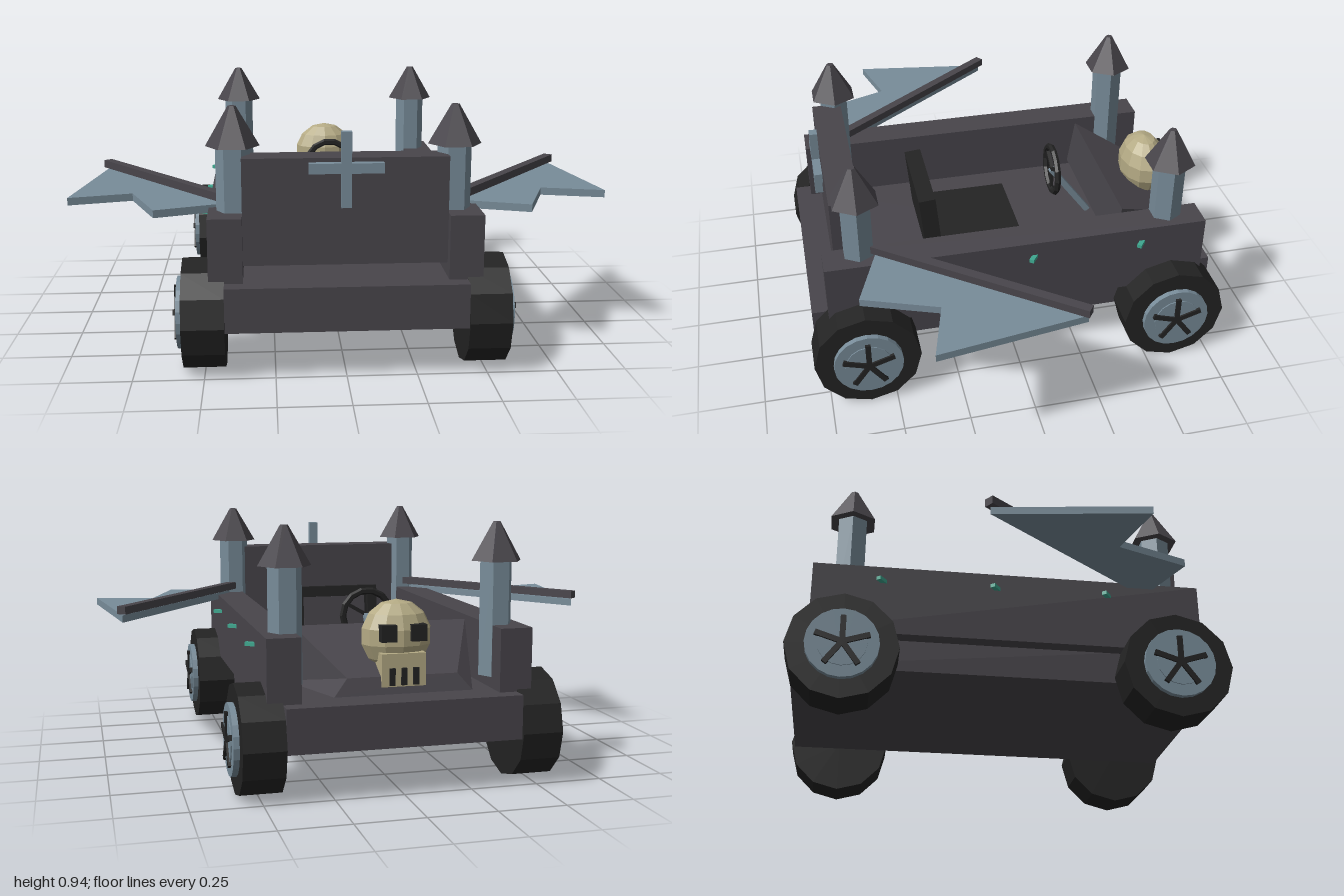
import * as THREE from 'three';

const material = (name, color) => {
  const m = new THREE.MeshStandardMaterial({ color, flatShading: true });
  m.name = name;
  return m;
};

export function createModel() {
  const model = new THREE.Group();
  model.name = 'castleKart';
  const charcoal = material('charcoal', 0x48454b);
  const black = material('black', 0x232323);
  const slate = material('slate', 0x788c99);
  const bone = material('bone', 0xb5ab85);
  const teal = material('teal', 0x3fa890);

  const add = (name, geo, mat, x = 0, y = 0, z = 0, parent = model) => {
    const mesh = new THREE.Mesh(geo, mat);
    mesh.name = name;
    mesh.position.set(x, y, z);
    parent.add(mesh);
    return mesh;
  };
  const box = (name, w, h, d, mat, x, y, z, parent) =>
    add(name, new THREE.BoxGeometry(w, h, d), mat, x, y, z, parent);

  // Chassis, end panel and cross
  box('chassis', 0.85, 0.16, 1.57, charcoal, 0, 0.26, 0);
  box('endPanel', 0.72, 0.38, 0.115, charcoal, 0, 0.58, 0.623);
  box('crossUpright', 0.036, 0.265, 0.03, slate, 0, 0.7325, 0.698);
  box('crossBar', 0.26, 0.036, 0.03, slate, 0, 0.738, 0.698);

  // Wheel with rim and five spokes, outer face towards +x
  const makeWheel = () => {
    const wheel = new THREE.Group();
    wheel.name = 'wheel';
    const disc = (name, r, from, to, mat, sides) => {
      const geo = new THREE.CylinderGeometry(r, r, to - from, sides).rotateZ(-Math.PI / 2);
      add(name, geo, mat, (from + to) / 2, 0, 0, wheel);
    };
    disc('tyre', 0.2, -0.075, 0.075, black, 12);
    disc('rim', 0.13, 0.07, 0.096, slate, 20);
    disc('hubPlate', 0.088, 0.09, 0.1, slate, 16);
    for (let i = 0; i < 5; i++) {
      const geo = new THREE.BoxGeometry(0.014, 0.1, 0.02).translate(0, 0.05, 0);
      add('spoke', geo, black, 0.1, 0, 0, wheel).rotation.x = (i * Math.PI * 2) / 5;
    }
    return wheel;
  };

  // Bat wing outline in x and z
  const wingPoints = [[0.42, 0.53], [0.92, -0.13], [1, 0.41], [0.77, 0.35], [0.67, 0.62]];
  const makeWing = side => {
    const shape = new THREE.Shape(wingPoints.map(([x, z]) => new THREE.Vector2(side * x, z)));
    const geo = new THREE.ExtrudeGeometry(shape, { depth: 0.028, bevelEnabled: false });
    return geo.rotateX(Math.PI / 2).translate(0, 0.58, 0);
  };

  for (const side of [-1, 1]) {
    box('sideWall', 0.12, 0.27, 1.45, charcoal, side * 0.42, 0.435, 0);
    for (const z of [-0.6, 0.6]) {
      const wheel = makeWheel();
      wheel.position.set(side * 0.5, 0.2, z);
      if (side < 0) wheel.rotation.y = Math.PI;
      model.add(wheel);
      // Hexagonal corner tower with pointed roof
      const tower = new THREE.CylinderGeometry(0.061, 0.061, 0.42, 6).rotateY(Math.PI / 2);
      add('tower', tower, slate, side * 0.39, 0.59, z * 0.985);
      const roof = new THREE.CylinderGeometry(0.014, 0.095, 0.14, 6).rotateY(Math.PI / 2);
      add('towerRoof', roof, charcoal, side * 0.39, 0.87, z * 0.985);
    }
    // Wing and its arm
    add('wing', makeWing(side), slate);
    const arm = box('wingArm', 0.036, 0.03, 0.87, charcoal, side * 0.662, 0.6, 0.21);
    arm.rotation.y = side * -Math.atan2(0.5, 0.66);
    // Small bolts along the wall
    for (const z of [0.38, -0.04, -0.46]) {
      box('wallBolt', 0.05, 0.014, 0.018, teal, side * 0.487, 0.51, z - 0.01).rotation.y = -0.65;
    }
  }

  // Seat with a framed, slightly reclined back
  box('seatCushion', 0.37, 0.035, 0.38, black, 0, 0.378, 0.11);
  const back = new THREE.Group();
  back.name = 'seatBack';
  back.position.set(0, 0.37, 0.275);
  back.rotation.x = 0.09;
  model.add(back);
  box('backBoard', 0.37, 0.245, 0.04, black, 0, 0.1225, 0.015, back);
  box('backInset', 0.27, 0.15, 0.006, charcoal, 0, 0.125, -0.006, back);
  for (const s of [-1, 1]) {
    box('backFrameSide', 0.04, 0.245, 0.03, black, s * 0.165, 0.1225, -0.015, back);
    box('backFrameRail', 0.3, 0.04, 0.03, black, 0, 0.1225 + s * 0.1025, -0.015, back);
  }

  // Steering wheel and column
  add('steeringWheel', new THREE.TorusGeometry(0.095, 0.013, 6, 14), black, 0, 0.565, -0.247);
  for (let i = 0; i < 3; i++) {
    const spoke = new THREE.BoxGeometry(0.014, 0.095, 0.012).translate(0, 0.0475, 0);
    add('steeringSpoke', spoke, black, 0, 0.565, -0.247).rotation.z = Math.PI / 3 + (i * Math.PI * 2) / 3;
  }
  const column = box('steeringColumn', 0.024, 0.275, 0.024, slate, 0, 0.455, -0.325);
  column.rotation.x = Math.atan2(0.16, 0.22);

  // Sloping hood: tapered block from a bottom and a top outline
  const hood = new THREE.BoxGeometry(2, 1, 1);
  const p = hood.attributes.position;
  for (let i = 0; i < p.count; i++) {
    const top = p.getY(i) > 0, inner = p.getZ(i) > 0, s = Math.sign(p.getX(i));
    if (top) p.setXYZ(i, s * (inner ? 0.33 : 0.2), inner ? 0.565 : 0.42, inner ? -0.44 : -0.72);
    else p.setXYZ(i, s * (inner ? 0.36 : 0.25), 0.36, inner ? -0.42 : -0.74);
  }
  hood.computeVertexNormals();
  add('hood', hood, charcoal);

  // Skull ornament
  const cranium = new THREE.SphereGeometry(1, 12, 7).scale(0.13, 0.128, 0.095);
  add('cranium', cranium, bone, 0, 0.55, -0.635);
  box('jaw', 0.16, 0.14, 0.09, bone, 0, 0.43, -0.687);
  for (const s of [-1, 1]) box('eyeSocket', 0.056, 0.058, 0.05, black, s * 0.054, 0.57, -0.712);
  for (const x of [-0.043, 0, 0.043]) box('toothGap', 0.02, 0.06, 0.02, black, x, 0.42, -0.732);

  return model;
}
